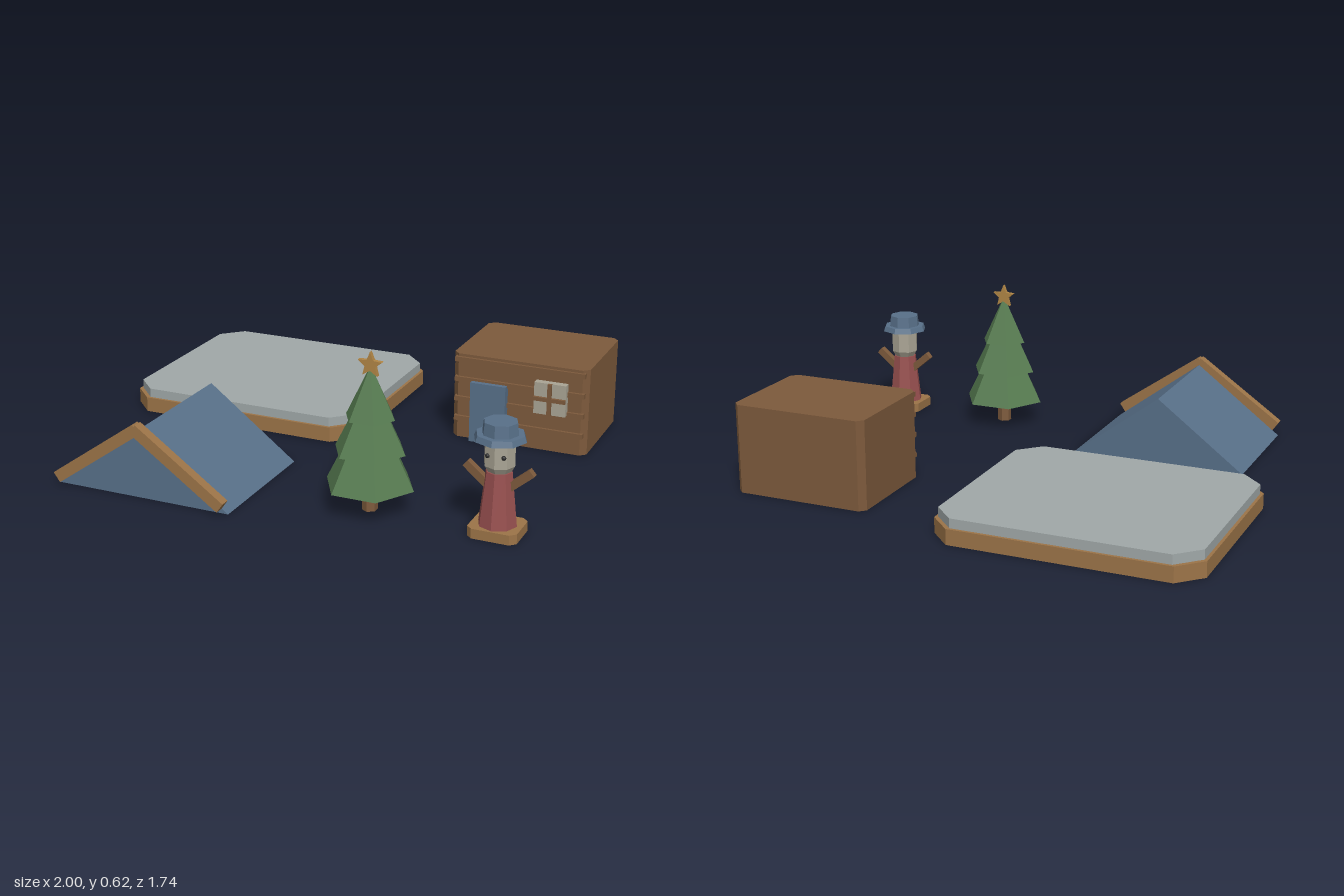
import * as THREE from 'three';

const mat = (color) => new THREE.MeshStandardMaterial({ color, flatShading: true });
const M = {
  tan: mat(0x9c7448), brown: mat(0x7d5a3c), blue: mat(0x587089), green: mat(0x557a4f), red: mat(0x98504f),
  stone: mat(0xa0a8a8), cream: mat(0xaaa595), dark: mat(0x2b2b2b), gold: mat(0xb08545),
};

function add(parent, name, geo, material, x = 0, y = 0, z = 0) {
  const mesh = new THREE.Mesh(geo, material);
  mesh.name = name;
  mesh.position.set(x, y, z);
  parent.add(mesh);
  return mesh;
}

function group(parent, name, x = 0, z = 0) {
  const g = new THREE.Group();
  g.name = name;
  g.position.set(x, 0, z);
  parent.add(g);
  return g;
}

const box = (w, h, d) => new THREE.BoxGeometry(w, h, d);

const extrude = (points, depth) => new THREE.ExtrudeGeometry(
  new THREE.Shape(points.map(([x, y]) => new THREE.Vector2(x, y))), { depth, bevelEnabled: false });

// Upright block with chamfered vertical corners, standing on y = 0
function chamferBlock(w, h, d, c) {
  const a = w / 2, b = d / 2;
  return extrude([[-a + c, -b], [a - c, -b], [a, -b + c], [a, b - c],
    [a - c, b], [-a + c, b], [-a, b - c], [-a, -b + c]], h).rotateX(-Math.PI / 2);
}

// Frustum with its base at y = 0
const frustum = (rTop, rBottom, h, sides) =>
  new THREE.CylinderGeometry(rTop, rBottom, h, sides).translate(0, h / 2, 0);

function buildRink(root) {
  const g = group(root, 'platform', -0.478, -0.42);
  add(g, 'platformFrame', chamferBlock(1.044, 0.062, 0.9, 0.09), M.tan);
  add(g, 'platformSlab', chamferBlock(1.02, 0.038, 0.876, 0.088), M.stone, 0, 0.062);
}

function buildTent(root) {
  const g = group(root, 'tent', -0.453, 0);
  add(g, 'tentCanvas', extrude([[-0.367, 0], [0.367, 0], [0, 0.277]], 0.555), M.blue, 0, 0, 0.277);
  for (const s of [-1, 1]) {
    const bar = add(g, 'gableBoard', box(0.44, 0.045, 0.04), M.tan, s * 0.173, 0.163, 0.851);
    bar.rotation.z = -s * 0.611;
  }
}

function buildCabin(root) {
  const g = group(root, 'cabin', 0.667, 0);
  add(g, 'cabinWalls', chamferBlock(0.57, 0.361, 0.453, 0.024), M.brown, 0, 0, -0.476);
  for (let i = 0; i < 4; i++)
    add(g, 'wallBatten', box(0.545, 0.02, 0.025), M.brown, 0, 0.085 * (i + 1), -0.25);
  add(g, 'door', box(0.15, 0.255, 0.035), M.blue, -0.122, 0.1275, -0.233);
  add(g, 'doorKnob', new THREE.IcosahedronGeometry(0.012, 1), M.dark, -0.082, 0.122, -0.216);
  add(g, 'windowPane', box(0.132, 0.132, 0.035), M.cream, 0.138, 0.231, -0.236);
  add(g, 'windowBar', box(0.016, 0.132, 0.016), M.brown, 0.138, 0.231, -0.214);
  add(g, 'windowBar', box(0.132, 0.016, 0.016), M.brown, 0.138, 0.231, -0.214);
}

function buildTree(root) {
  const g = group(root, 'tree', 0.369, 0.57);
  add(g, 'trunk', frustum(0.027, 0.03, 0.14, 6), M.brown);
  // Stacked six-sided tiers: radius, base height, tip height
  for (const [r, y0, y1] of [[0.175, 0.1, 0.447], [0.14, 0.235, 0.515], [0.097, 0.365, 0.565]])
    add(g, 'foliageTier', frustum(0, r, y1 - y0, 6).rotateY(Math.PI / 6), M.green, 0, y0);
  const star = Array.from({ length: 10 }, (_, i) => {
    const r = i % 2 ? 0.022 : 0.05, a = Math.PI / 2 + i * Math.PI / 5;
    return [r * Math.cos(a), r * Math.sin(a)];
  });
  add(g, 'star', extrude(star, 0.018), M.gold, 0, 0.567, -0.009);
}

function buildFigure(root) {
  const g = group(root, 'figure', 0.868, 0.573);
  add(g, 'figureBase', chamferBlock(0.187, 0.038, 0.164, 0.022), M.tan);
  add(g, 'body', frustum(0.05, 0.073, 0.207, 8), M.red, 0, 0.038);
  add(g, 'chin', frustum(0.058, 0.043, 0.025, 8), M.cream, 0, 0.243);
  add(g, 'head', frustum(0.058, 0.058, 0.097, 8), M.cream, 0, 0.268);
  add(g, 'hatBrim', frustum(0.09, 0.098, 0.022, 8), M.blue, 0, 0.364);
  add(g, 'hatCrown', frustum(0.063, 0.068, 0.046, 8), M.blue, 0, 0.386);
  for (const s of [-1, 1]) {
    add(g, 'eye', new THREE.IcosahedronGeometry(0.009, 1), M.dark, s * 0.03, 0.312, 0.046);
    const arm = add(g, 'arm', box(0.112, 0.03, 0.028), M.brown, s * 0.081, 0.22, 0);
    arm.rotation.z = s * 0.7;
  }
}

export function createModel() {
  const root = new THREE.Group();
  root.name = 'winterCamp';
  buildRink(root);
  buildTent(root);
  buildCabin(root);
  buildTree(root);
  buildFigure(root);
  return root;
}
